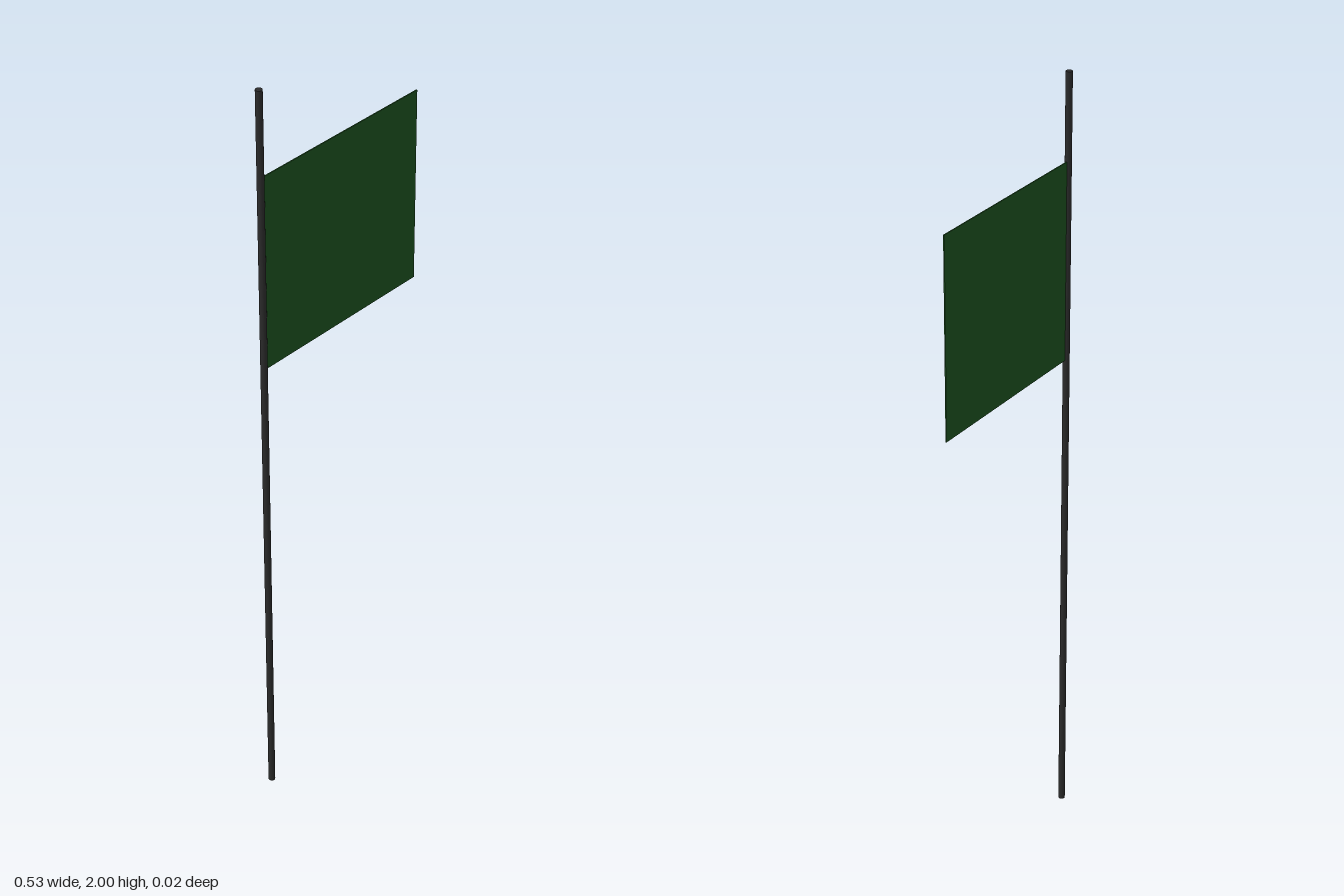
import * as THREE from 'three';

export function createModel() {
  const model = new THREE.Group();
  const add = (name, geometry, color, x, y) => {
    const mesh = new THREE.Mesh(geometry, new THREE.MeshStandardMaterial({ color }));
    mesh.name = name;
    mesh.position.set(x, y, 0);
    model.add(mesh);
  };

  const poleX = -0.256, poleRadius = 0.0085;
  const flagRight = 0.264, flagBottom = 1.27, flagTop = 1.78;
  const flagWidth = flagRight - poleX; // hoist edge sits inside the pole

  // Slim upright pole
  add('pole', new THREE.CylinderGeometry(poleRadius, poleRadius, 2, 16), 0x2a2a2a, poleX, 1);

  // Stiff, thin square flag
  add('flag', new THREE.BoxGeometry(flagWidth, flagTop - flagBottom, 0.003), 0x1b4d1e,
    poleX + flagWidth / 2, (flagTop + flagBottom) / 2);

  return model;
}
